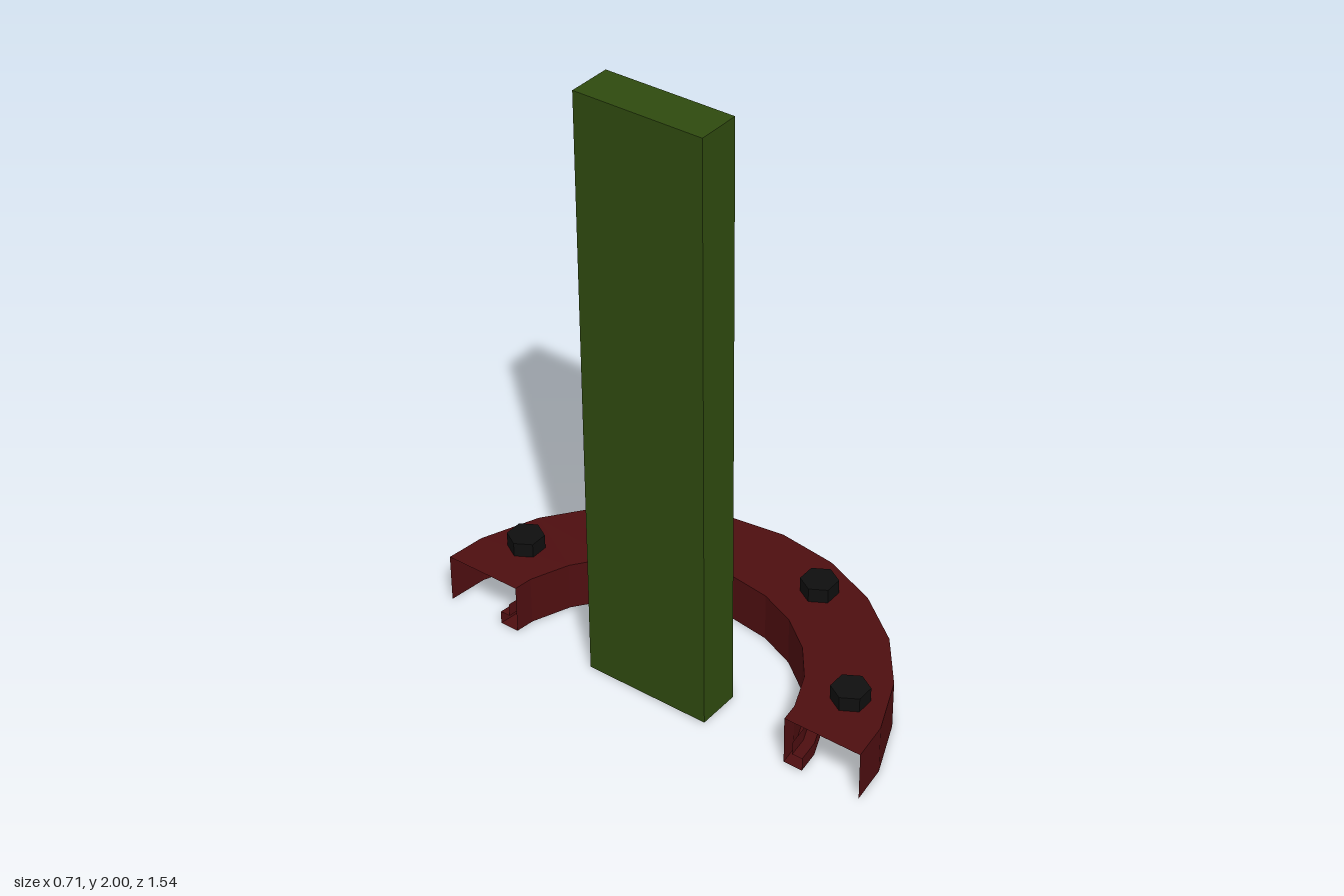
import * as THREE from 'three';

const CENTRE_X = -0.425; // axis of the ring
const CUT_X = 0.071; // ring is cut on this plane, measured from its axis

export function createModel() {
  const model = new THREE.Group();
  const green = new THREE.MeshStandardMaterial({ name: 'dark green', color: 0x2f4a0f });
  const red = new THREE.MeshStandardMaterial({
    name: 'dark red', color: 0x4e0e10, flatShading: true, side: THREE.DoubleSide,
  });
  const black = new THREE.MeshStandardMaterial({ name: 'black', color: 0x0f0f0f, flatShading: true });

  const add = (name, geometry, material, x, y, z) => {
    const mesh = new THREE.Mesh(geometry, material);
    mesh.name = name;
    mesh.position.set(x, y, z);
    model.add(mesh);
    return mesh;
  };

  // Upright plank
  add('post', new THREE.BoxGeometry(0.144, 2, 0.432), green, -0.282, 1, 0);

  // Hollow half ring: outer wall, flat top, inner wall with a stepped foot
  const profile = [
    [0.78, 0], [0.78, 0.167], [0.515, 0.167], [0.515, 0], [0.58, 0], [0.58, 0.045], [0.545, 0.045],
    [0.545, 0.09],
  ].map(([r, y]) => new THREE.Vector2(r, y));
  const ring = new THREE.LatheGeometry(profile, 12, 0, Math.PI);

  // Trim both ends back along their last facet to the cutting plane
  const pos = ring.attributes.position;
  const s = Math.sin(THREE.MathUtils.degToRad(75));
  const c = Math.cos(THREE.MathUtils.degToRad(75));
  for (let i = 0; i < pos.count; i++) {
    if (pos.getX(i) > 0.001) continue;
    const r = Math.abs(pos.getZ(i));
    const t = (r * c - CUT_X) / (r * c);
    pos.setX(i, CUT_X);
    pos.setZ(i, Math.sign(pos.getZ(i)) * r * (s + (1 - s) * t));
  }
  ring.computeVertexNormals();
  add('halfRing', ring, red, CENTRE_X, 0, 0);

  // Hexagonal bolt heads around the ring
  const boltGeometry = new THREE.CylinderGeometry(0.06, 0.06, 0.052, 6);
  for (const degrees of [-67.5, -22.5, 22.5, 67.5]) {
    const a = THREE.MathUtils.degToRad(degrees);
    const bolt = add('bolt', boltGeometry, black,
      CENTRE_X + 0.663 * Math.cos(a), 0.19, 0.663 * Math.sin(a));
    bolt.rotation.y = Math.PI / 6;
  }
  return model;
}
